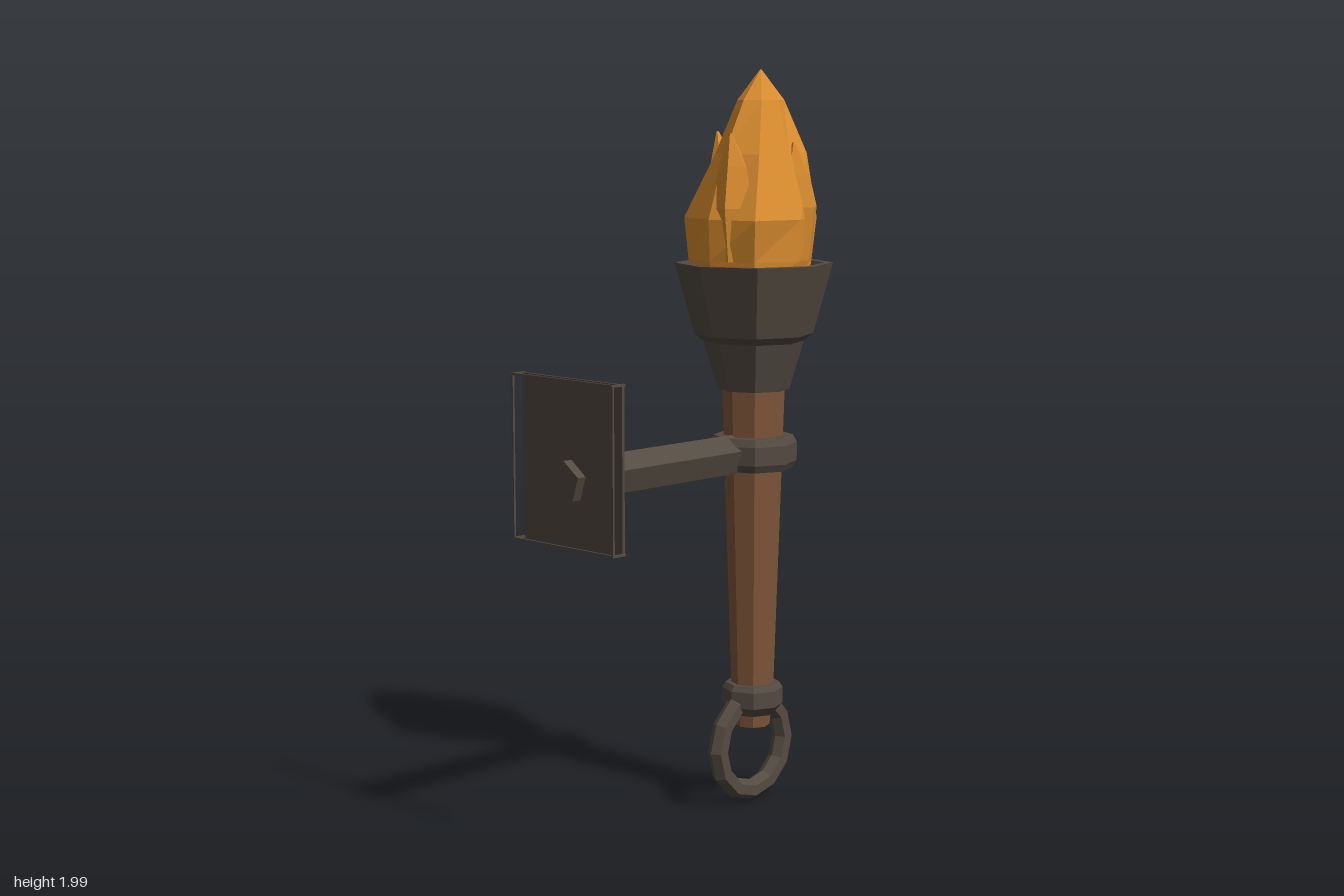
import * as THREE from 'three';

const AXIS = 0.25; // x of the torch's centre line

const makeMaterial = (name, color) => {
  const m = new THREE.MeshStandardMaterial({ color, flatShading: true });
  m.name = name;
  return m;
};

// Closed surface through rings of [y, centreX, centreZ, radius]; fold pinches alternate corners
function loft(rings, sides, fold = 0) {
  const pos = [], index = [];
  rings.forEach(([y, cx, cz, r], j) => {
    for (let i = 0; i < sides; i++) {
      const t = (i / sides) * Math.PI * 2;
      const k = r * (1 + fold * Math.min(j, 3) * Math.sin(i * 2.4 + j * 1.7));
      pos.push(cx + Math.sin(t) * k, y, cz + Math.cos(t) * k);
    }
  });
  for (let j = 0; j < rings.length - 1; j++) {
    for (let i = 0; i < sides; i++) {
      const n = (i + 1) % sides;
      const a = j * sides + i, b = j * sides + n;
      index.push(a, b, b + sides, a, b + sides, a + sides);
    }
  }
  const g = new THREE.BufferGeometry();
  g.setAttribute('position', new THREE.Float32BufferAttribute(pos, 3));
  g.setIndex(index);
  g.computeVertexNormals();
  return g;
}

// Eight-sided turned part from a bottom-to-top profile of [radius, y]
const turned = (profile) =>
  new THREE.LatheGeometry(profile.map(([r, y]) => new THREE.Vector2(r, y)), 8).translate(AXIS, 0, 0);

// Five-sided bar along x, ridge upwards
const bar = (x0, x1, r0, r1) =>
  new THREE.CylinderGeometry(r1, r0, x1 - x0, 5, 1, false, -Math.PI / 2)
    .rotateZ(-Math.PI / 2)
    .translate((x0 + x1) / 2, 0.977, -0.003);

export function createModel() {
  const metal = makeMaterial('dark iron', 0x544b42);
  const wood = makeMaterial('brown wood', 0x7f563a);
  const fire = makeMaterial('orange flame', 0xdd8f30);
  const model = new THREE.Group();
  model.name = 'wallTorch';

  const add = (name, geometry, material, parent = model) => {
    const mesh = new THREE.Mesh(geometry, material);
    mesh.name = name;
    parent.add(mesh);
    return mesh;
  };

  // Tapered handle
  add('handle', turned([[0, 0.22], [0.048, 0.22], [0.058, 0.34], [0.085, 1.17], [0, 1.17]]), wood);

  // Iron fittings on the handle
  add('cup', turned([[0, 1.15], [0.097, 1.15], [0.135, 1.28], [0.16, 1.3], [0.212, 1.49],
    [0.188, 1.49], [0.165, 1.45], [0, 1.45]]), metal);
  add('collar', turned([[0.07, 0.935], [0.107, 0.935], [0.118, 0.955], [0.118, 1.005],
    [0.107, 1.025], [0.07, 1.025]]), metal);
  add('endCap', turned([[0.045, 0.255], [0.062, 0.255], [0.083, 0.28], [0.083, 0.325],
    [0.073, 0.34], [0.045, 0.34]]), metal);
  add('ring', new THREE.TorusGeometry(0.13, 0.028, 6, 12).translate(0.243, 0.166, 0), metal);

  // Bracket arm and its foot against the plate
  add('arm', bar(-0.45, 0.2, 0.055, 0.055), metal);
  add('armFoot', bar(-0.42, -0.4, 0.07, 0.06), metal);

  // Wall plate with a slim open frame behind it
  const plate = new THREE.Group();
  plate.name = 'wallPlate';
  plate.position.set(0, 1.025, 0);
  model.add(plate);
  add('plate', new THREE.BoxGeometry(0.008, 0.425, 0.36).translate(-0.419, 0, 0), metal, plate);
  for (const s of [-1, 1]) {
    add('frameUpright', new THREE.BoxGeometry(0.006, 0.43, 0.006).translate(-0.457, 0, s * 0.181), metal, plate);
    add('frameRail', new THREE.BoxGeometry(0.006, 0.006, 0.36).translate(-0.457, s * 0.212, 0), metal, plate);
    for (const t of [-1, 1]) {
      add('framePost', new THREE.BoxGeometry(0.045, 0.006, 0.006).translate(-0.438, s * 0.212, t * 0.181), metal, plate);
    }
  }

  // Flame body and the smaller tongues around it
  const flame = new THREE.Group();
  flame.name = 'flame';
  model.add(flame);
  add('flameBody', loft([
    [1.44, 0.255, -0.01, 0.15], [1.5, 0.257, -0.015, 0.165], [1.61, 0.26, -0.017, 0.178],
    [1.78, 0.272, -0.01, 0.122], [1.92, 0.282, -0.008, 0.062], [2.0, 0.285, -0.01, 0.002],
  ], 8, 0.03), fire, flame);
  add('leftTongue', loft([
    [1.5, 0.165, 0.02, 0.06], [1.64, 0.155, 0.02, 0.066], [1.75, 0.15, 0.02, 0.04], [1.835, 0.135, 0.02, 0.003],
  ], 5), fire, flame);
  add('backTongue', loft([
    [1.5, 0.275, -0.125, 0.065], [1.63, 0.275, -0.14, 0.07], [1.75, 0.278, -0.14, 0.035], [1.835, 0.28, -0.163, 0.003],
  ], 6), fire, flame);
  add('frontTongue', loft([
    [1.5, 0.3, 0.09, 0.06], [1.64, 0.31, 0.1, 0.06], [1.73, 0.31, 0.095, 0.04], [1.81, 0.3, 0.095, 0.003],
  ], 5), fire, flame);
  add('rightTongue', loft([
    [1.5, 0.36, -0.01, 0.06], [1.6, 0.37, -0.01, 0.06], [1.72, 0.36, -0.02, 0.045], [1.82, 0.375, -0.02, 0.003],
  ], 5), fire, flame);

  return model;
}
